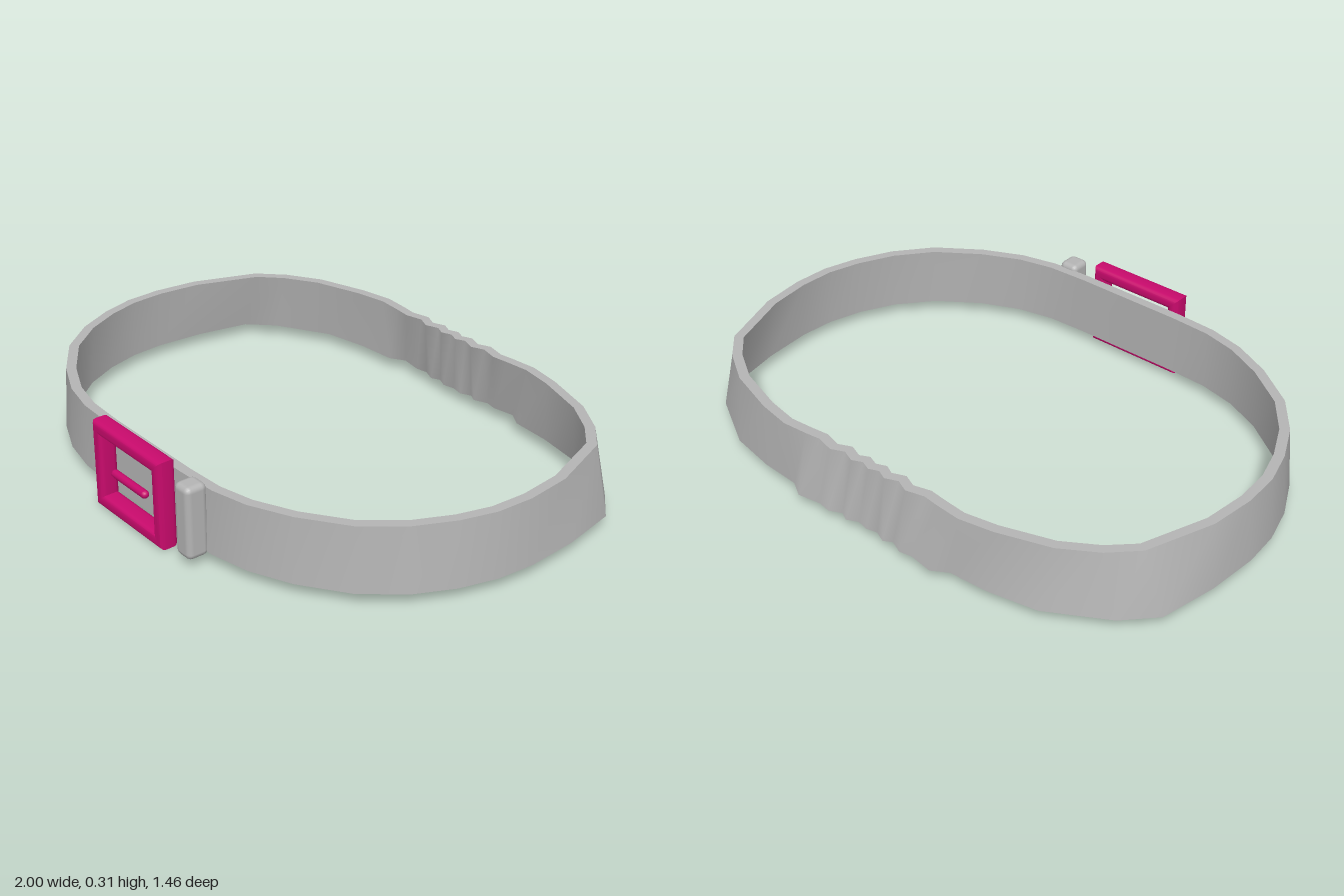
import * as THREE from 'three';
import { mergeGeometries, toCreasedNormals } from 'three/addons/utils/BufferGeometryUtils.js';
import { RoundedBoxGeometry } from 'three/addons/geometries/RoundedBoxGeometry.js';

const Y_LOW = 0.045, Y_HIGH = 0.266, THICKNESS = 0.034;

// Half outline of the strap, front centre to back centre: [bottom x, bottom z, top x, top z]
const HALF = [
  [0, 0.658, 0, 0.652], [0.2, 0.658, 0.2, 0.652], [0.35, 0.652, 0.35, 0.645],
  [0.49, 0.622, 0.48, 0.615], [0.63, 0.56, 0.62, 0.55], [0.78, 0.455, 0.77, 0.445],
  [0.885, 0.33, 0.87, 0.32], [0.95, 0.2, 0.933, 0.19], [0.987, 0.07, 0.968, 0.07],
  [0.998, -0.06, 0.976, -0.06], [0.985, -0.24, 0.958, -0.22], [0.945, -0.44, 0.875, -0.45],
  [0.85, -0.54, 0.79, -0.535], [0.65, -0.655, 0.67, -0.61], [0.48, -0.688, 0.49, -0.668],
  [0.34, -0.697, 0.37, -0.69],
  // gathered folds
  [0.285, -0.73, 0.28, -0.683], [0.2, -0.717, 0.225, -0.676], [0.155, -0.725, 0.16, -0.692],
  [0.11, -0.705, 0.115, -0.672], [0.08, -0.721, 0.07, -0.69], [0.04, -0.703, 0.035, -0.674],
  [0, -0.712, 0, -0.688],
];

// Closed ring of points at one height, mirrored across x
function ring(offset, y) {
  const half = HALF.map(p => new THREE.Vector3(p[offset], y, p[offset + 1]));
  const other = half.slice(1, -1).reverse().map(p => new THREE.Vector3(-p.x, y, p.z));
  return [...half, ...other];
}

// Ring moved inward along its local normal
function inset(points, d) {
  const n = points.length;
  return points.map((p, i) => {
    const t = points[(i + 1) % n].clone().sub(points[(i + n - 1) % n]).normalize();
    return new THREE.Vector3(p.x + t.z * d, p.y, p.z - t.x * d);
  });
}

// Smooth closed band between two rings
function band(a, b) {
  const n = a.length, index = [];
  for (let i = 0; i < n; i++) {
    const j = (i + 1) % n;
    index.push(i, j, n + j, i, n + j, n + i);
  }
  const g = new THREE.BufferGeometry().setFromPoints([...a, ...b]);
  g.setIndex(index);
  g.computeVertexNormals();
  return g;
}

function strapGeometry() {
  const outLow = ring(0, Y_LOW), outHigh = ring(2, Y_HIGH);
  // inset direction: the ring runs front, left, back, right
  const inLow = inset(outLow, -THICKNESS), inHigh = inset(outHigh, -THICKNESS);
  const centre = new THREE.Vector3(0, Y_LOW, 0);
  const inward = inLow[0].distanceTo(centre) < outLow[0].distanceTo(centre);
  const lo = inward ? inLow : inset(outLow, THICKNESS);
  const hi = inward ? inHigh : inset(outHigh, THICKNESS);
  return mergeGeometries([band(outLow, outHigh), band(outHigh, hi), band(hi, lo), band(lo, outLow)]);
}

function rectangle(path, w, h) {
  path.moveTo(-w / 2, -h / 2);
  path.lineTo(w / 2, -h / 2);
  path.lineTo(w / 2, h / 2);
  path.lineTo(-w / 2, h / 2);
  path.closePath();
  return path;
}

// Rectangular frame with rounded bars
function frameGeometry() {
  const shape = rectangle(new THREE.Shape(), 0.37, 0.306);
  shape.holes.push(rectangle(new THREE.Path(), 0.282, 0.216));
  const bevel = 0.016, depth = 0.066;
  const g = new THREE.ExtrudeGeometry(shape, {
    depth: depth - 2 * bevel, bevelThickness: bevel, bevelSize: bevel,
    bevelOffset: -bevel, bevelSegments: 3,
  });
  g.translate(0, 0, bevel);
  return toCreasedNormals(g, 0.7);
}

export function createModel() {
  const grey = new THREE.MeshStandardMaterial({ color: 0xb4b4b4 });
  grey.name = 'strap grey';
  const pink = new THREE.MeshStandardMaterial({ color: 0xc80a6c });
  pink.name = 'buckle magenta';

  const model = new THREE.Group();
  model.name = 'belt';
  const add = (name, geometry, material, x = 0, y = 0, z = 0) => {
    const mesh = new THREE.Mesh(geometry, material);
    mesh.name = name;
    mesh.position.set(x, y, z);
    model.add(mesh);
    return mesh;
  };

  add('strap', strapGeometry(), grey);
  add('buckleFrame', frameGeometry(), pink, 0, 0.155, 0.658);
  add('buckleProng', new THREE.CapsuleGeometry(0.014, 0.162, 4, 10), pink, 0.01, 0.16, 0.714)
    .rotation.z = Math.PI / 2;
  add('beltLoop', new RoundedBoxGeometry(0.074, 0.252, 0.078, 2, 0.02), grey, 0.294, 0.158, 0.682);
  return model;
}
